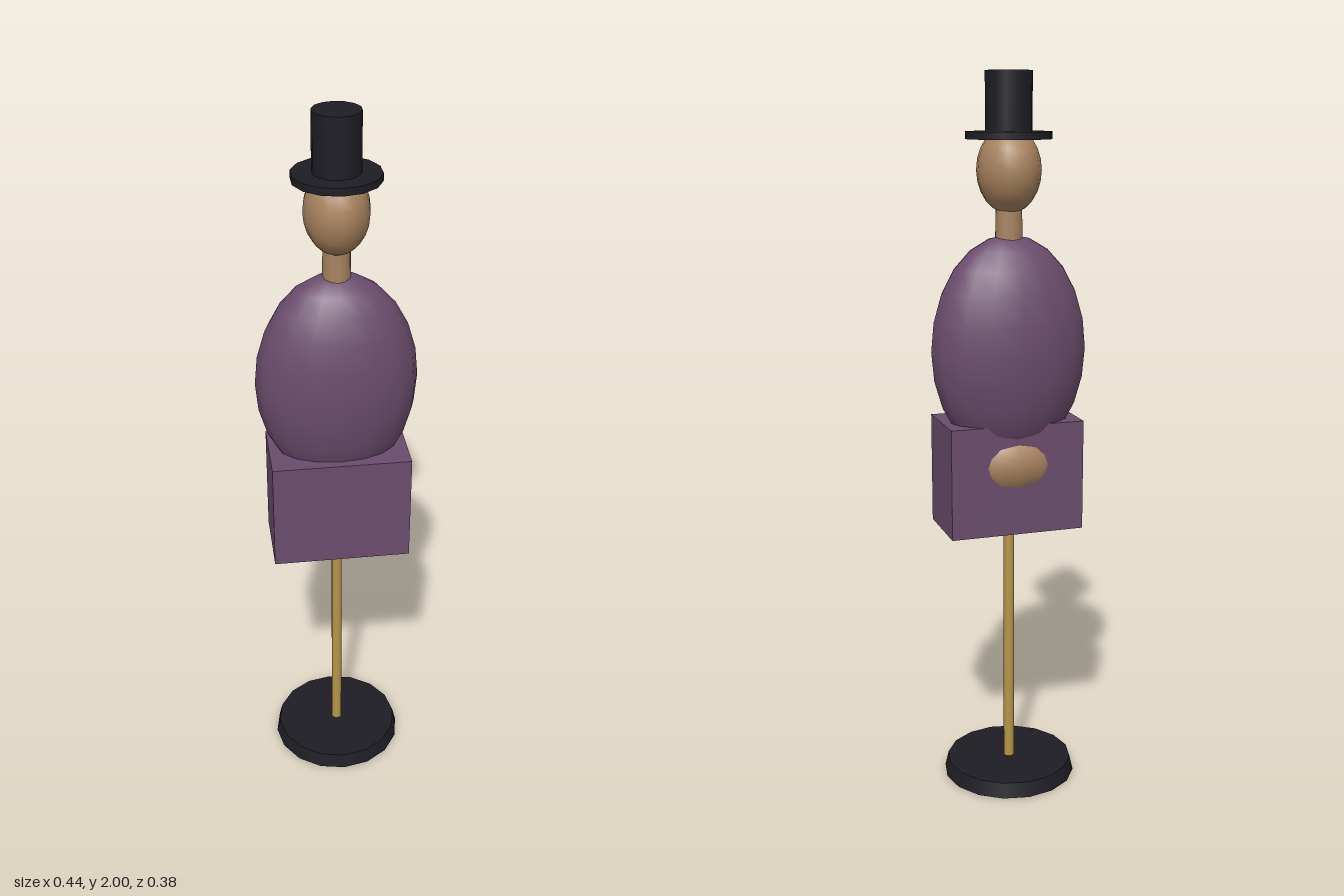
import * as THREE from 'three';

const material = (color) => new THREE.MeshStandardMaterial({ color });

export function createModel() {
  const model = new THREE.Group();
  model.name = 'mannequinOnStand';

  const black = material(0x1e1d24);
  const brass = material(0xb8964a);
  const skin = material(0xa8835f);
  const cloth = material(0x6b4c6d);

  const add = (name, geometry, mat, x, y, z) => {
    const mesh = new THREE.Mesh(geometry, mat);
    mesh.name = name;
    mesh.position.set(x, y, z);
    model.add(mesh);
    return mesh;
  };
  // Upright cylinder given by its bottom and top heights
  const post = (name, mat, rTop, rBottom, y0, y1, sides) =>
    add(name, new THREE.CylinderGeometry(rTop, rBottom, y1 - y0, sides), mat, 0, (y0 + y1) / 2, 0);
  // Sphere stretched to three radii
  const ellipsoid = (name, mat, rx, ry, rz, y) =>
    add(name, new THREE.SphereGeometry(1, 16, 12).scale(rx, ry, rz), mat, 0, y, 0);

  // Stand
  post('standBase', black, 0.18, 0.19, 0, 0.042, 16);
  post('standPole', brass, 0.015, 0.015, 0.04, 0.95, 10);

  // Body, with the hips reaching through the back of the skirt
  ellipsoid('hips', skin, 0.155, 0.105, 0.105, 0.95);
  ellipsoid('torso', cloth, 0.22, 0.31, 0.136, 1.265);
  add('skirt', new THREE.BoxGeometry(0.38, 0.31, 0.21), cloth, 0, 0.91, 0.02);

  // Neck and head
  post('neck', skin, 0.036, 0.038, 1.54, 1.66, 12);
  ellipsoid('head', skin, 0.086, 0.115, 0.099, 1.745);

  // Top hat
  post('hatBrim', black, 0.116, 0.116, 1.825, 1.845, 14);
  post('hatCrown', black, 0.063, 0.063, 1.84, 2, 14);

  return model;
}
